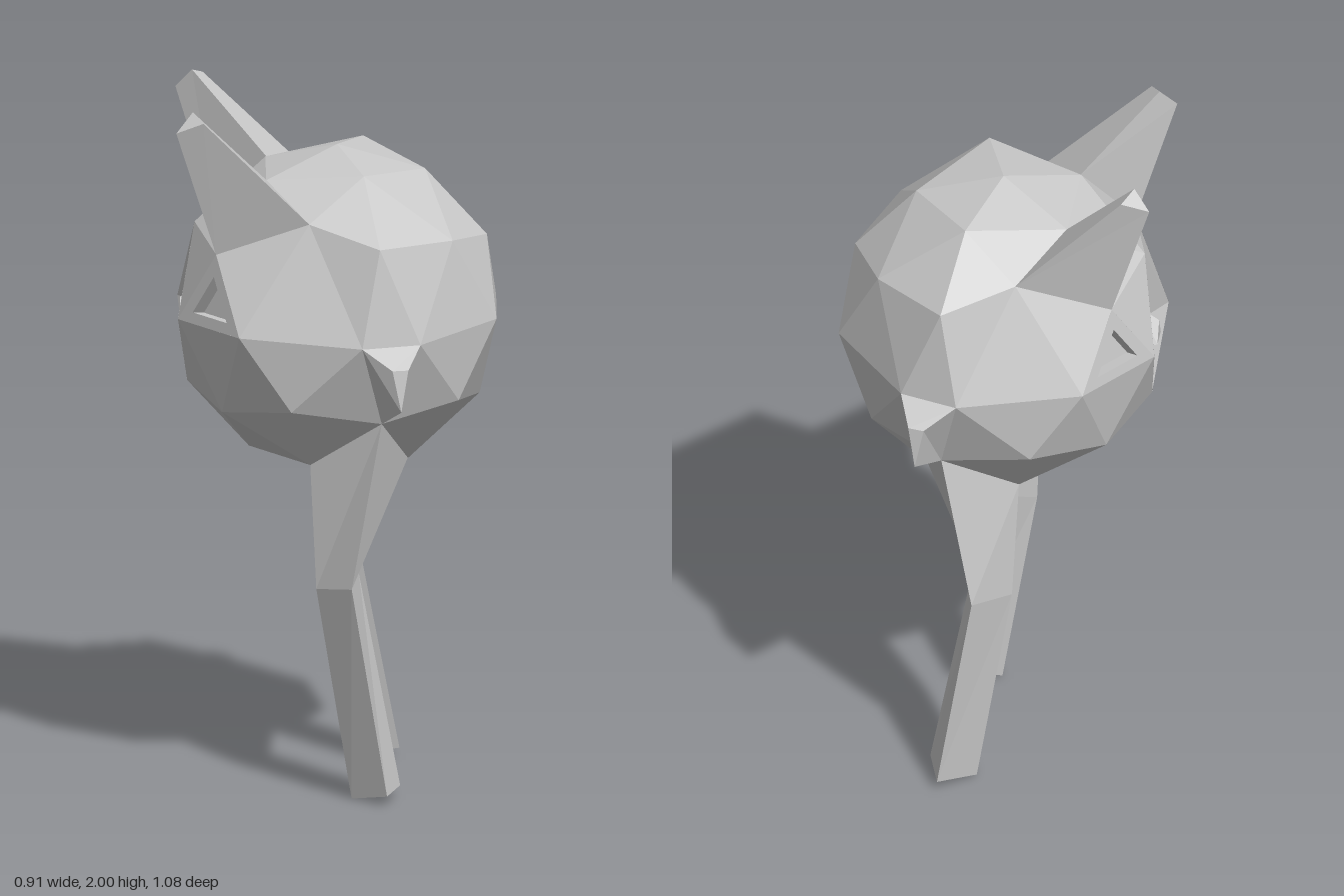
import * as THREE from 'three';

const CENTRE = new THREE.Vector3(0, 1.37, 0);
const RADIUS = 0.475;
const material = new THREE.MeshStandardMaterial({ color: 0xcccccc, flatShading: true, side: THREE.DoubleSide });
const V = ([x, y, z]) => new THREE.Vector3(x, y, z);

function makeMesh(points, name) {
  const geometry = new THREE.BufferGeometry().setFromPoints(points);
  geometry.computeVertexNormals();
  const mesh = new THREE.Mesh(geometry, material);
  mesh.name = name;
  return mesh;
}

// Joins matching polygon sections and caps the last; side = -1 mirrors in z
function loft(name, sections, side = 1) {
  let rings = sections.map((s) => s.map(([x, y, z]) => new THREE.Vector3(x, y, z * side)));
  const [a, b, c] = rings[0];
  const normal = b.clone().sub(a).cross(c.clone().sub(a));
  if (normal.dot(a.clone().sub(CENTRE)) < 0) rings = rings.map((r) => r.reverse());
  const points = [];
  const n = rings[0].length;
  for (let s = 0; s + 1 < rings.length; s++) {
    for (let i = 0; i < n; i++) {
      const j = (i + 1) % n;
      const [p, q, r, t] = [rings[s][i], rings[s][j], rings[s + 1][j], rings[s + 1][i]];
      points.push(p, q, r, p, r, t);
    }
  }
  const end = rings[rings.length - 1];
  for (let i = 1; i + 1 < n; i++) points.push(end[0], end[i], end[i + 1]);
  return makeMesh(points, name);
}

// Shrinks a polygon about its middle, then moves it toward the body centre
function inset(polygon, scale, depth) {
  const mid = polygon.reduce((m, p) => m.add(V(p)), new THREE.Vector3()).divideScalar(polygon.length);
  const push = CENTRE.clone().sub(mid).setLength(depth);
  return polygon.map((p) => V(p).sub(mid).multiplyScalar(scale).add(mid).add(push).toArray());
}

// Regular sphere points that are pulled to a new place (mirrored in z)
const pulls = [
  [[0.077, 1.775, 0.238], [0.075, 1.81, 0.25]],
  [[0.131, 1.582, 0.404], [0.12, 1.64, 0.44]],
  [[-0.125, 1.62, 0.384], [-0.08, 1.69, 0.335]],
  [[0, 1.37, 0.475], [0.07, 1.36, 0.48]],
  [[0.279, 1.37, 0.384], [0.235, 1.36, 0.425]],
];

// Faceted round body, left open where the eyes and mouth are sunk in
function makeBody(openings) {
  const geometry = new THREE.IcosahedronGeometry(RADIUS, 1);
  geometry.rotateZ(-Math.atan(2 / (1 + Math.sqrt(5))));
  geometry.translate(0, CENTRE.y, 0);
  const position = geometry.attributes.position;
  const points = [];
  for (let i = 0; i < position.count; i += 3) {
    const tri = [0, 1, 2].map((k) => new THREE.Vector3().fromBufferAttribute(position, i + k));
    const mid = tri[0].clone().add(tri[1]).add(tri[2]).divideScalar(3);
    if (openings.some((o) => o.distanceTo(mid) < 0.03)) continue;
    for (const p of tri) {
      const side = p.z < 0 ? -1 : 1;
      const pull = pulls.find(([from]) => Math.hypot(p.x - from[0], p.y - from[1], p.z * side - from[2]) < 0.04);
      if (pull) p.set(pull[1][0], pull[1][1], pull[1][2] * side);
    }
    points.push(...tri);
  }
  return makeMesh(points, 'body');
}

export function createModel() {
  const model = new THREE.Group();
  model.name = 'creature';

  const cheek = [-0.452, 1.37, 0.147];
  const otherCheek = [-0.452, 1.37, -0.147];
  const brow = [-0.404, 1.62, 0];
  const chin = [-0.425, 1.158, 0];
  const eye = [[-0.344, 1.582, 0.25], cheek, [-0.279, 1.37, 0.384]];
  const middle = (tri) => tri.reduce((m, p) => m.add(V(p)), new THREE.Vector3()).divideScalar(3);

  const eyeMiddle = middle(eye);
  model.add(makeBody([
    eyeMiddle,
    eyeMiddle.clone().multiply(new THREE.Vector3(1, 1, -1)),
    middle([cheek, otherCheek, brow]),
    middle([cheek, otherCheek, chin]),
  ]));

  // Sunken muzzle with a small wedge nose
  const muzzle = [brow, cheek, chin, otherCheek];
  model.add(loft('muzzle', [muzzle, inset(muzzle, 0.45, 0.035)]));
  model.add(loft('nose', [
    [[-0.385, 1.44, 0], [-0.385, 1.33, 0.05], [-0.385, 1.33, -0.05]],
    [[-0.445, 1.4, 0], [-0.445, 1.34, 0.035], [-0.445, 1.34, -0.035]],
  ]));

  for (const side of [1, -1]) {
    const prefix = side > 0 ? 'front' : 'back';

    model.add(loft(prefix + 'Eye', [eye, inset(eye, 0.55, 0), inset(eye, 0.55, 0.04)], side));

    model.add(loft(prefix + 'Ear', [
      [[-0.2, 1.774, 0.147], [-0.08, 1.69, 0.335], [-0.344, 1.582, 0.25]],
      [[-0.41, 2.0, 0.26], [-0.38, 1.98, 0.318], [-0.457, 1.945, 0.29]],
    ], side));

    model.add(loft(prefix + 'Arm', [
      [[0.07, 1.36, 0.48], [0.235, 1.36, 0.425], [0.125, 1.12, 0.384]],
      [[0.155, 1.31, 0.535], [0.2, 1.31, 0.525], [0.18, 1.19, 0.538]],
    ], side));

    // Leg: hip, knee and foot sections
    model.add(loft(prefix + 'Leg', [
      [[-0.077, 0.966, 0.238], [0.125, 1.12, 0.384], [0.2, 0.966, 0.147]],
      [[-0.06, 0.61, 0.26], [0.04, 0.635, 0.375], [0.06, 0.645, 0.195]],
      [[0.04, 0, 0.265], [0.14, 0.03, 0.367], [0.178, 0.03, 0.228]],
    ], side));
  }
  return model;
}
